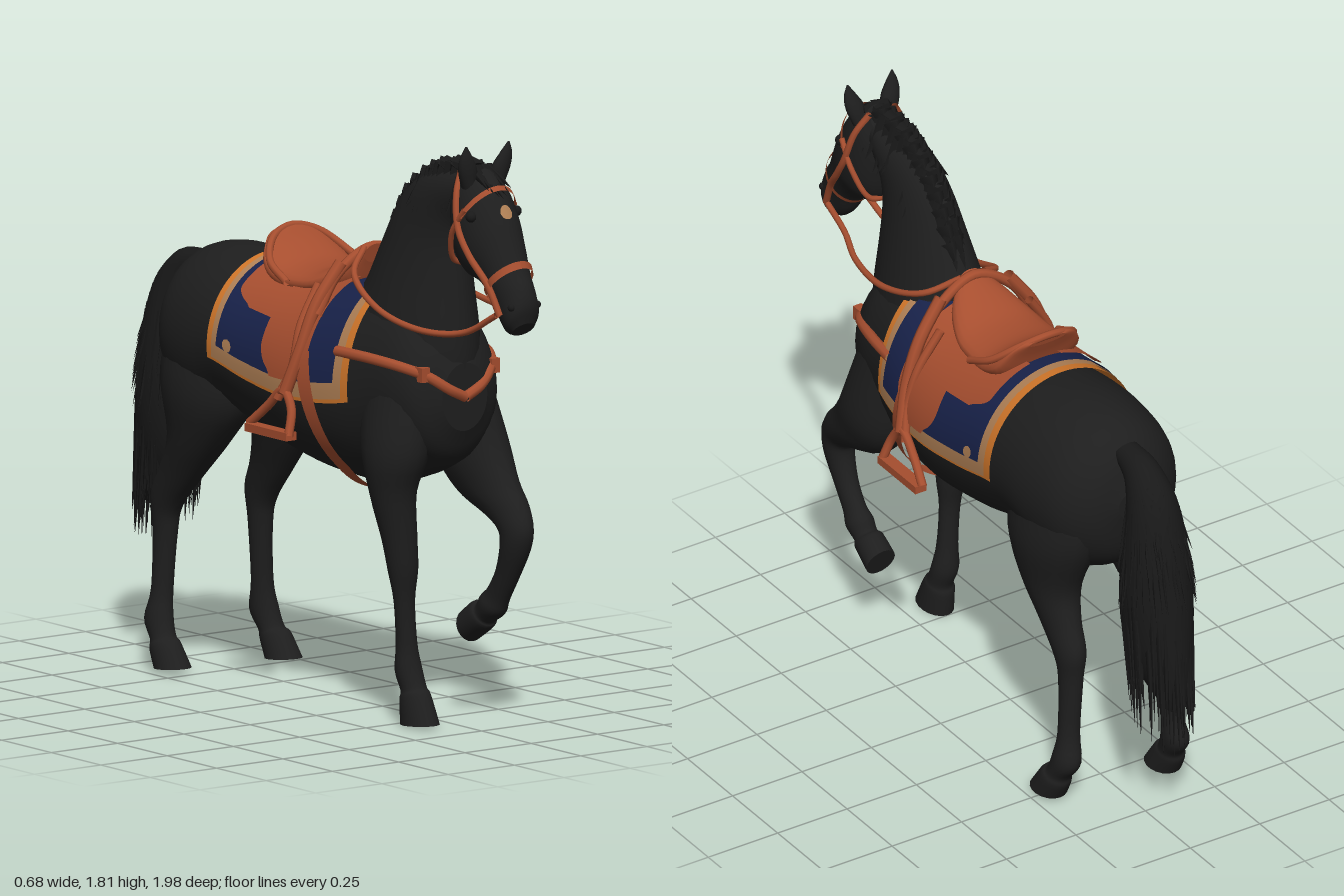
import * as THREE from 'three';
import { mergeGeometries } from 'three/addons/utils/BufferGeometryUtils.js';

const V = (x, y, z) => new THREE.Vector3(x, y, z);
const material = (name, color, side = THREE.FrontSide) =>
  Object.assign(new THREE.MeshStandardMaterial({ color, side }), { name });

// Surface through oval rings [zA, yA, zB, yB, halfWidth, x]; A and B are opposite ends of each ring.
function ovalSurface(rings) {
  const n = rings.length - 1;
  const curve = (f) => new THREE.CatmullRomCurve3(rings.map(f), false, 'catmullrom', 0.5);
  const ca = curve((r) => V(r[5] || 0, r[1], r[0]));
  const cb = curve((r) => V(r[5] || 0, r[3], r[2]));
  const cw = curve((r, i) => V(r[4], i, 0));
  const at = (u, a, off = 0) => {
    const t = THREE.MathUtils.clamp(u / n, 0, 1);
    const A = ca.getPoint(t), c = cb.getPoint(t).add(A).multiplyScalar(0.5);
    const half = A.sub(c), h = half.length();
    c.addScaledVector(half, (Math.cos(a) * (h + off)) / h);
    c.x += Math.sin(a) * (cw.getPoint(t).x + off);
    return c;
  };
  return { at, n };
}

function buildGeometry(points, index) {
  const g = new THREE.BufferGeometry().setFromPoints(points);
  g.setIndex(index);
  g.computeVertexNormals();
  return g;
}

// Closed solid over an oval surface, with flat end caps.
function loft(rings, sides = 24, steps = 4) {
  const { at, n } = ovalSurface(rings);
  const points = [], index = [], rows = n * steps, mid = n / 2;
  for (let i = 0; i <= rows; i++)
    for (let j = 0; j < sides; j++) points.push(at(i / steps, (j / sides) * Math.PI * 2));
  const centre = (u) => at(u, 0).add(at(u, Math.PI)).multiplyScalar(0.5);
  const along = centre(mid + 0.1).sub(centre(mid - 0.1));
  const flip = along.cross(V(1, 0, 0)).dot(at(mid, 0).sub(centre(mid))) < 0;
  const tri = (a, b, c) => (flip ? index.push(a, c, b) : index.push(a, b, c));
  for (let i = 0; i < rows; i++)
    for (let j = 0; j < sides; j++) {
      const k = (j + 1) % sides, p = i * sides, q = p + sides;
      tri(p + j, q + j, p + k);
      tri(p + k, q + j, q + k);
    }
  for (const end of [0, rows]) {
    const base = points.length, c = base + sides;
    for (let j = 0; j < sides; j++) points.push(points[end * sides + j].clone());
    points.push(centre(end / steps));
    for (let j = 0; j < sides; j++) {
      const a = base + j, b = base + ((j + 1) % sides);
      end ? tri(a, c, b) : tri(a, b, c);
    }
  }
  return buildGeometry(points, index);
}

// Sheet lying on a surface; span(s) gives its u limits as s runs from angle a0 to a1.
function sheet({ at }, span, a0, a1, off, nu = 14, na = 24) {
  const points = [], index = [];
  for (let i = 0; i <= na; i++) {
    const s = i / na, [u0, u1] = span(s);
    for (let j = 0; j <= nu; j++) {
      points.push(at(u0 + ((u1 - u0) * j) / nu, a0 + (a1 - a0) * s, off));
      const p = i * (nu + 1) + j, q = p + nu + 1;
      if (i < na && j < nu) index.push(p, p + 1, q, q, p + 1, q + 1);
    }
  }
  return buildGeometry(points, index);
}

const strap = (pts, r) =>
  new THREE.TubeGeometry(new THREE.CatmullRomCurve3(pts.map((p) => V(...p))), pts.length * 6, r, 8);

// Tapered lock of hair from p to q.
function spike(p, q, r) {
  const d = q.clone().sub(p), len = d.length();
  const g = new THREE.ConeGeometry(r, len, 5).translate(0, len / 2, 0);
  g.applyQuaternion(new THREE.Quaternion().setFromUnitVectors(V(0, 1, 0), d.normalize()));
  return g.translate(p.x, p.y, p.z);
}

export function createModel() {
  const root = new THREE.Group();
  root.name = 'saddledHorse';
  const two = THREE.DoubleSide;
  const coat = material('black coat', 0x1e1e1e), hair = material('black hair', 0x191919);
  const leather = material('brown leather', 0xa64e2f, two), navy = material('navy cloth', 0x18224a, two);
  const orange = material('orange trim', 0xd0762a, two), tan = material('tan trim', 0xb08055, two);
  const add = (name, geometry, mat) => {
    const m = Object.assign(new THREE.Mesh(geometry, mat), { name });
    root.add(m);
    return m;
  };
  let seed = 7;
  const rand = () => (seed = (seed * 16807) % 2147483647) / 2147483647;

  // Barrel, neck and head
  const bodyRings = [
    [-0.695, 1.12, -0.695, 1.02, 0.06], [-0.66, 1.23, -0.66, 0.88, 0.15], [-0.58, 1.3, -0.58, 0.8, 0.22],
    [-0.45, 1.325, -0.45, 0.77, 0.247], [-0.3, 1.315, -0.3, 0.8, 0.25], [-0.1, 1.29, -0.1, 0.745, 0.25],
    [0.1, 1.28, 0.1, 0.71, 0.252], [0.28, 1.31, 0.28, 0.7, 0.235], [0.42, 1.33, 0.42, 0.725, 0.21],
    [0.54, 1.3, 0.54, 0.77, 0.19], [0.62, 1.21, 0.62, 0.82, 0.155], [0.665, 1.12, 0.665, 0.91, 0.085]];
  const body = ovalSurface(bodyRings);
  add('body', loft(bodyRings, 32), coat);
  add('neck', loft([
    [0.65, 1.0, 0.2, 1.2, 0.15], [0.665, 1.1, 0.2, 1.28, 0.155], [0.665, 1.2, 0.25, 1.36, 0.14],
    [0.655, 1.34, 0.31, 1.48, 0.112], [0.65, 1.45, 0.38, 1.6, 0.09], [0.66, 1.53, 0.48, 1.68, 0.08],
    [0.7, 1.6, 0.6, 1.71, 0.07], [0.74, 1.66, 0.7, 1.72, 0.05]]), coat);
  const headRings = [
    [0.72, 1.735, 0.66, 1.68, 0.05], [0.77, 1.73, 0.655, 1.58, 0.08], [0.83, 1.68, 0.675, 1.46, 0.096],
    [0.88, 1.6, 0.72, 1.405, 0.094], [0.91, 1.53, 0.79, 1.385, 0.08], [0.945, 1.45, 0.84, 1.345, 0.067],
    [0.98, 1.4, 0.87, 1.29, 0.059], [0.995, 1.345, 0.91, 1.25, 0.057], [0.985, 1.29, 0.935, 1.245, 0.038]];
  const head = ovalSurface(headRings);
  add('head', loft(headRings), coat);
  const round = (mid, half) => (s) => [-1, 1].map((k) => mid + k * half * Math.sqrt(1 - (2 * s - 1) ** 2));
  add('foreheadStar', sheet(head, round(2.85, 0.25), -0.22, 0.22, 0.004, 4, 8), tan);
  for (const s of [1, -1]) {
    add('ear', loft([[0.775, 1.67, 0.73, 1.67, 0.02, s * 0.052], [0.785, 1.73, 0.74, 1.73, 0.032, s * 0.062],
      [0.787, 1.775, 0.755, 1.77, 0.022, s * 0.074], [0.782, 1.81, 0.776, 1.81, 0.003, s * 0.08]], 12), coat);
    add('eye', new THREE.SphereGeometry(0.017, 12, 8), hair).position.set(s * 0.085, 1.6, 0.81);
    add('nostril', new THREE.SphereGeometry(0.012, 10, 8), hair).position.set(s * 0.048, 1.34, 0.965);
  }

  // Legs, each running from inside the barrel to the hoof sole
  add('rightFrontLeg', loft([
    [0.6, 1.05, 0.34, 1.05, 0.07, -0.12], [0.62, 0.85, 0.38, 0.85, 0.095, -0.14], [0.58, 0.72, 0.43, 0.7, 0.07, -0.15],
    [0.57, 0.58, 0.46, 0.57, 0.055, -0.135], [0.565, 0.48, 0.475, 0.47, 0.047, -0.125], [0.55, 0.38, 0.49, 0.38, 0.034, -0.12],
    [0.55, 0.25, 0.485, 0.25, 0.033, -0.11], [0.56, 0.18, 0.48, 0.16, 0.042, -0.105], [0.58, 0.12, 0.5, 0.1, 0.04, -0.1],
    [0.6, 0.1, 0.495, 0.07, 0.046, -0.1], [0.645, 0.01, 0.5, 0.0, 0.052, -0.1]], 18), coat);
  add('leftFrontLeg', loft([
    [0.6, 1.05, 0.34, 1.05, 0.07, 0.12], [0.65, 0.86, 0.38, 0.8, 0.095, 0.14], [0.71, 0.745, 0.46, 0.69, 0.075, 0.145],
    [0.765, 0.68, 0.6, 0.63, 0.058, 0.145], [0.8, 0.61, 0.665, 0.6, 0.048, 0.14], [0.785, 0.54, 0.68, 0.56, 0.045, 0.14],
    [0.735, 0.45, 0.655, 0.475, 0.036, 0.14], [0.685, 0.37, 0.61, 0.41, 0.034, 0.14], [0.66, 0.325, 0.58, 0.385, 0.042, 0.14],
    [0.61, 0.295, 0.56, 0.355, 0.038, 0.14], [0.6, 0.275, 0.535, 0.355, 0.046, 0.14], [0.52, 0.225, 0.485, 0.32, 0.05, 0.14]], 18), coat);
  const hind = [
    [-0.25, 1.03, -0.64, 1.1, 0.08, 0.13], [-0.26, 0.86, -0.64, 0.92, 0.113, 0.135], [-0.33, 0.73, -0.57, 0.74, 0.083, 0.145],
    [-0.43, 0.6, -0.59, 0.63, 0.057, 0.15], [-0.51, 0.5, -0.625, 0.54, 0.046, 0.152], [-0.53, 0.42, -0.615, 0.44, 0.037, 0.153],
    [-0.54, 0.25, -0.61, 0.25, 0.034, 0.162], [-0.53, 0.17, -0.63, 0.15, 0.042, 0.172], [-0.51, 0.11, -0.59, 0.09, 0.04, 0.178],
    [-0.485, 0.095, -0.585, 0.06, 0.047, 0.182], [-0.43, 0.02, -0.56, 0.01, 0.054, 0.183]];
  add('leftHindLeg', loft(hind, 18), coat);
  add('rightHindLeg', loft(hind.map(([za, ya, zb, yb, w, x]) => {
    const back = 0.07 * (1 - THREE.MathUtils.smoothstep(yb, 0.5, 0.95));
    return [za - back, ya, zb - back, yb, w, -x];
  }), 18), coat);

  // Tail: solid core with long loose strands
  const tailRings = [
    [-0.66, 1.27, -0.62, 1.2, 0.04], [-0.76, 1.255, -0.69, 1.15, 0.055], [-0.85, 1.17, -0.71, 1.04, 0.08],
    [-0.9, 1.03, -0.695, 0.9, 0.1], [-0.93, 0.85, -0.69, 0.77, 0.108], [-0.945, 0.7, -0.7, 0.65, 0.098],
    [-0.955, 0.57, -0.74, 0.55, 0.07], [-0.955, 0.46, -0.85, 0.46, 0.03]];
  const tail = ovalSurface(tailRings), strands = [];
  add('tail', loft(tailRings, 20), hair);
  for (let i = 0; i < 220; i++) {
    const a = rand() * Math.PI * 2, u = 1.6 + rand() * 3.9, p = tail.at(u, a, -0.012);
    const q = tail.at(u + 1.6, a, 0.012);
    if (u > 2.9) q.set(p.x + 0.015, 0.29 + rand() * 0.14 + (p.z + 0.95) * 0.6, p.z * 0.85 - 0.16 - rand() * 0.03);
    strands.push(spike(p, q, 0.013));
  }
  add('tailStrands', mergeGeometries(strands), hair);

  // Mane: crest ridge, hanging locks and forelock
  const crestRings = [
    [0.73, 1.745, 0.7, 1.7, 0.03], [0.6, 1.735, 0.6, 1.68, 0.035], [0.51, 1.7, 0.54, 1.64, 0.035],
    [0.42, 1.64, 0.47, 1.58, 0.035], [0.36, 1.56, 0.42, 1.52, 0.035], [0.315, 1.47, 0.38, 1.44, 0.035],
    [0.28, 1.36, 0.34, 1.34, 0.025]];
  const crest = ovalSurface(crestRings), locks = [];
  add('mane', loft(crestRings, 12), hair);
  for (let i = 0; i < 44; i++) {
    const s = i % 2 ? 1 : -1, p = crest.at((i / 44) * 6, s * 0.4, -0.01);
    locks.push(spike(p, V(s * (0.06 + rand() * 0.04), p.y - 0.1 - rand() * 0.05, p.z - 0.01), 0.03));
    if (i % 4 < 2) locks.push(spike(p, V(s * 0.015, p.y - 0.06, p.z - 0.05), 0.035));
  }
  for (let i = -3; i <= 3; i++)
    locks.push(spike(V(i * 0.01, 1.73, 0.74), V(i * 0.014, 1.65 + Math.abs(i) * 0.01, 0.868 - Math.abs(i) * 0.008), 0.018));
  add('maneLocks', mergeGeometries(locks), hair);

  // Saddle cloth: stacked layers make the two-colour border
  const uAt = (z) => {
    const i = bodyRings.findIndex((r) => r[0] > z) - 1;
    return i + (z - bodyRings[i][0]) / (bodyRings[i + 1][0] - bodyRings[i][0]);
  };
  for (const [name, z0, z1, a, off, mat] of [['clothEdge', -0.287, 0.375, 1.7, 0.012, orange],
    ['clothBorder', -0.258, 0.35, 1.66, 0.016, tan], ['cloth', -0.23, 0.322, 1.5, 0.02, navy]])
    add(name, sheet(body, () => [uAt(z0), uAt(z1)], -a, a, off, 24, 40), mat);

  // Saddle seat, rim and pommel
  add('seat', loft([
    [0.225, 1.42, 0.21, 1.36, 0.045], [0.17, 1.39, 0.17, 1.27, 0.1], [0.08, 1.338, 0.08, 1.24, 0.14],
    [0, 1.325, 0, 1.23, 0.15], [-0.08, 1.335, -0.08, 1.23, 0.155], [-0.15, 1.375, -0.15, 1.26, 0.15],
    [-0.195, 1.415, -0.185, 1.34, 0.11], [-0.212, 1.41, -0.205, 1.385, 0.065]]), leather);
  add('cantleRim', strap([[-0.16, 1.28, -0.02], [-0.148, 1.33, -0.12], [-0.085, 1.39, -0.185], [0, 1.412, -0.205],
    [0.085, 1.39, -0.185], [0.148, 1.33, -0.12], [0.16, 1.28, -0.02]], 0.012), leather);
  add('pommelRoll', strap([[-0.21, 1.22, 0.2], [-0.13, 1.34, 0.2], [0, 1.41, 0.205], [0.13, 1.34, 0.2], [0.21, 1.22, 0.2]], 0.016), leather);

  for (const s of [1, -1]) {
    const side = (name, pts, r) => add(name, strap(pts.map(([x, y, z]) => [s * x, y, z]), r), leather);
    add('clothBadge', sheet(body, round(uAt(-0.175), 0.1), s * 1.36, s * 1.5, 0.024, 4, 8), tan);
    // Flaps with rounded lower ends, and girth
    const band = (name, zMid, half, a0, a1, off) =>
      add(name, sheet(body, (t) => [uAt(zMid(t) - half(t)), uAt(zMid(t) + half(t))], s * a0, s * a1, off), leather);
    const taper = (w) => (t) => w * Math.sqrt(Math.max(0.2, 1 - Math.max(0, (t - 0.75) / 0.25) ** 2));
    band('saddleFlap', () => 0.105, taper(0.11), 0.2, 1.5, 0.034);
    band('saddleSkirt', () => -0.06, taper(0.135), 0.2, 0.95, 0.03);
    band('girth', (t) => 0.18 + 0.1 * Math.min(1, t * 1.6), () => 0.028, 1.2, Math.PI, 0.024);
    // Stirrup leathers and stirrup
    side('stirrupLeather', [[0.12, 1.37, 0.2], [0.205, 1.25, 0.19], [0.255, 1.12, 0.18], [0.295, 0.98, 0.15]], 0.02);
    side('stirrupLeatherBack', [[0.16, 1.3, 0.14], [0.235, 1.18, 0.15], [0.27, 1.06, 0.155], [0.3, 0.96, 0.12]], 0.014);
    side('stirrupArch', [[0.325, 0.86, 0.21], [0.3, 0.94, 0.19], [0.295, 0.99, 0.145], [0.3, 0.93, 0.07], [0.315, 0.87, 0.0]], 0.014);
    add('stirrupTread', new THREE.BoxGeometry(0.04, 0.025, 0.21), leather).position.set(s * 0.318, 0.86, 0.11);
    // Breast collar with buckle
    side('breastCollar', [[0.225, 1.13, 0.32], [0.203, 1.125, 0.46], [0.167, 1.11, 0.57], [0.117, 1.085, 0.635],
      [0.06, 1.045, 0.665], [0, 1.015, 0.668]], 0.017);
    add('collarBuckle', new THREE.BoxGeometry(0.03, 0.045, 0.04), leather).position.set(s * 0.132, 1.093, 0.625);
    // Reins and bridle: the right rein hangs lower
    const drop = s < 0 ? 0.05 : 0;
    side('rein', [[0.065, 1.31, 0.91], [0.09, 1.29 - drop, 0.78], [0.14, 1.28 - drop, 0.64], [0.165, 1.295 - drop / 2, 0.45],
      [0.13, 1.35, 0.28], [0.04, 1.41, 0.21]], 0.01);
    side('cheekStrap', [[0.045, 1.73, 0.71], [0.083, 1.66, 0.735], [0.1, 1.56, 0.765], [0.094, 1.48, 0.815],
      [0.075, 1.4, 0.88], [0.062, 1.31, 0.925]], 0.011);
    side('throatStrap', [[0.094, 1.62, 0.79], [0.097, 1.54, 0.73], [0.06, 1.45, 0.69], [0, 1.43, 0.69]], 0.009);
  }
  add('browband', sheet(head, () => [1.95, 2.15], -1.3, 1.3, 0.009, 3), leather);
  add('noseband', sheet(head, () => [4.75, 5.05], 0, Math.PI * 2, 0.009, 3, 32), leather);
  return root;
}
